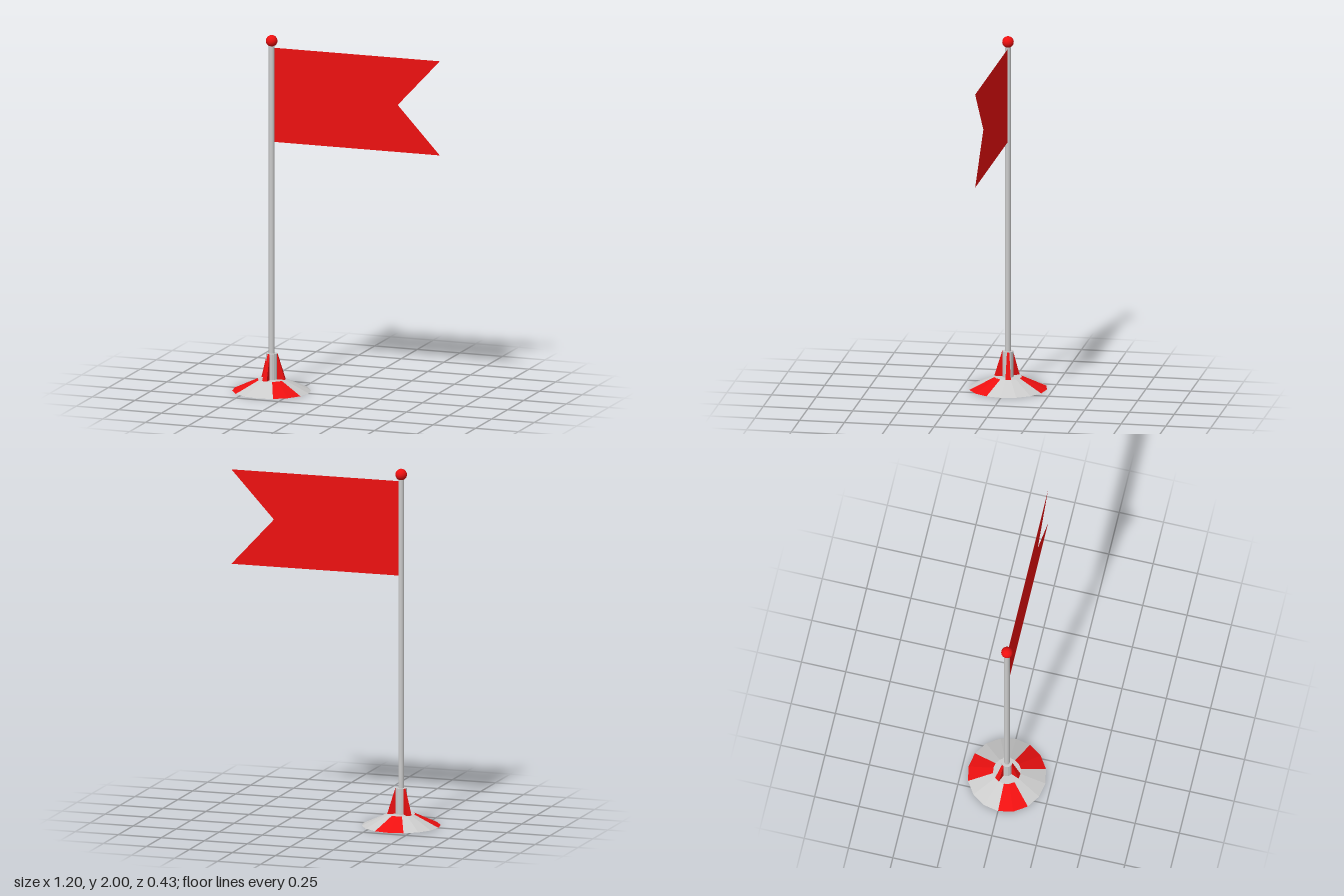
import * as THREE from 'three';

const SIDES = 16;
const STEP = (Math.PI * 2) / SIDES;
const POLE_X = -0.385;
const BASE_R = 0.217, HUB_R = 0.077, BASE_H = 0.065;
const COLLAR_R = 0.031, COLLAR_H = 0.21;

const mat = (color, opts = {}) => new THREE.MeshStandardMaterial({ color, ...opts });

// Point at a corner of the 16-sided ring
const ring = (i, r, y) => [Math.cos(i * STEP) * r, y, Math.sin(i * STEP) * r];

// Flat-shaded mesh from quads, each given counter-clockwise from outside
function quadMesh(name, quads, material) {
  const pos = quads.flatMap(([a, b, c, d]) => [a, b, c, a, c, d].flat());
  const geo = new THREE.BufferGeometry();
  geo.setAttribute('position', new THREE.Float32BufferAttribute(pos, 3));
  geo.computeVertexNormals();
  const mesh = new THREE.Mesh(geo, material);
  mesh.name = name;
  return mesh;
}

export function createModel() {
  const model = new THREE.Group();
  model.name = 'flagOnStand';
  const grey = mat(0xcccccc);
  const greyFlat = mat(0xcccccc, { flatShading: true });
  const red = mat(0xee1010);
  const redFlat = mat(0xee1010, { flatShading: true });

  const stand = new THREE.Group();
  stand.name = 'stand';
  stand.position.x = POLE_X;
  model.add(stand);

  const add = (name, geo, material, y) => {
    const mesh = new THREE.Mesh(geo, material);
    mesh.name = name;
    mesh.position.y = y;
    stand.add(mesh);
  };

  // Sloping base, with three red stripes two facets wide
  const redFacets = [1, 2, 6, 7, 11, 12];
  const stripes = [], plain = [];
  for (let i = 0; i < SIDES; i++) {
    const facet = [ring(i, BASE_R, 0), ring(i, HUB_R, BASE_H), ring(i + 1, HUB_R, BASE_H), ring(i + 1, BASE_R, 0)];
    (redFacets.includes(i) ? stripes : plain).push(facet);
  }
  stand.add(quadMesh('baseStripes', stripes, redFlat), quadMesh('basePlain', plain, greyFlat));

  // Flat hub on top of the base and its underside
  const hub = new THREE.CircleGeometry(HUB_R, SIDES).rotateX(-Math.PI / 2);
  add('baseTop', hub, greyFlat, BASE_H);
  const underside = new THREE.CircleGeometry(BASE_R, SIDES).rotateX(Math.PI / 2);
  add('baseUnderside', underside, greyFlat, 0);

  // Collar holding the pole
  const collarLength = COLLAR_H - BASE_H;
  add('collar', new THREE.CylinderGeometry(COLLAR_R, COLLAR_R, collarLength, SIDES).rotateY(Math.PI / 2),
    greyFlat, BASE_H + collarLength / 2);

  // Three wedge fins bracing the collar, one facet wide
  for (const i of [4, 9, 15]) {
    const j = i + 1;
    const inA = ring(i, COLLAR_R, BASE_H), inB = ring(j, COLLAR_R, BASE_H);
    const outA = ring(i, HUB_R, BASE_H), outB = ring(j, HUB_R, BASE_H);
    const topA = ring(i, COLLAR_R + 0.001, COLLAR_H), topB = ring(j, COLLAR_R + 0.001, COLLAR_H);
    stand.add(quadMesh('fin', [
      [outA, topA, topB, outB],
      [inA, topA, topA, outA].slice(0, 2).concat([outA, outA]),
      [inB, outB, topB, topB],
    ], redFlat));
  }

  // Pole and ball finial
  add('pole', new THREE.CylinderGeometry(0.016, 0.016, 1.89, SIDES), grey, BASE_H + 0.945);
  add('finial', new THREE.SphereGeometry(0.032, 20, 14), red, 1.968);

  // Thin swallow-tailed flag
  const outline = [[-0.37, 1.4], [0.602, 1.4], [0.355, 1.665], [0.602, 1.93], [-0.37, 1.93]];
  const shape = new THREE.Shape(outline.map(([x, y]) => new THREE.Vector2(x, y)));
  const flag = new THREE.Mesh(new THREE.ShapeGeometry(shape), mat(0xee1010, { side: THREE.DoubleSide }));
  flag.name = 'flag';
  model.add(flag);

  return model;
}
